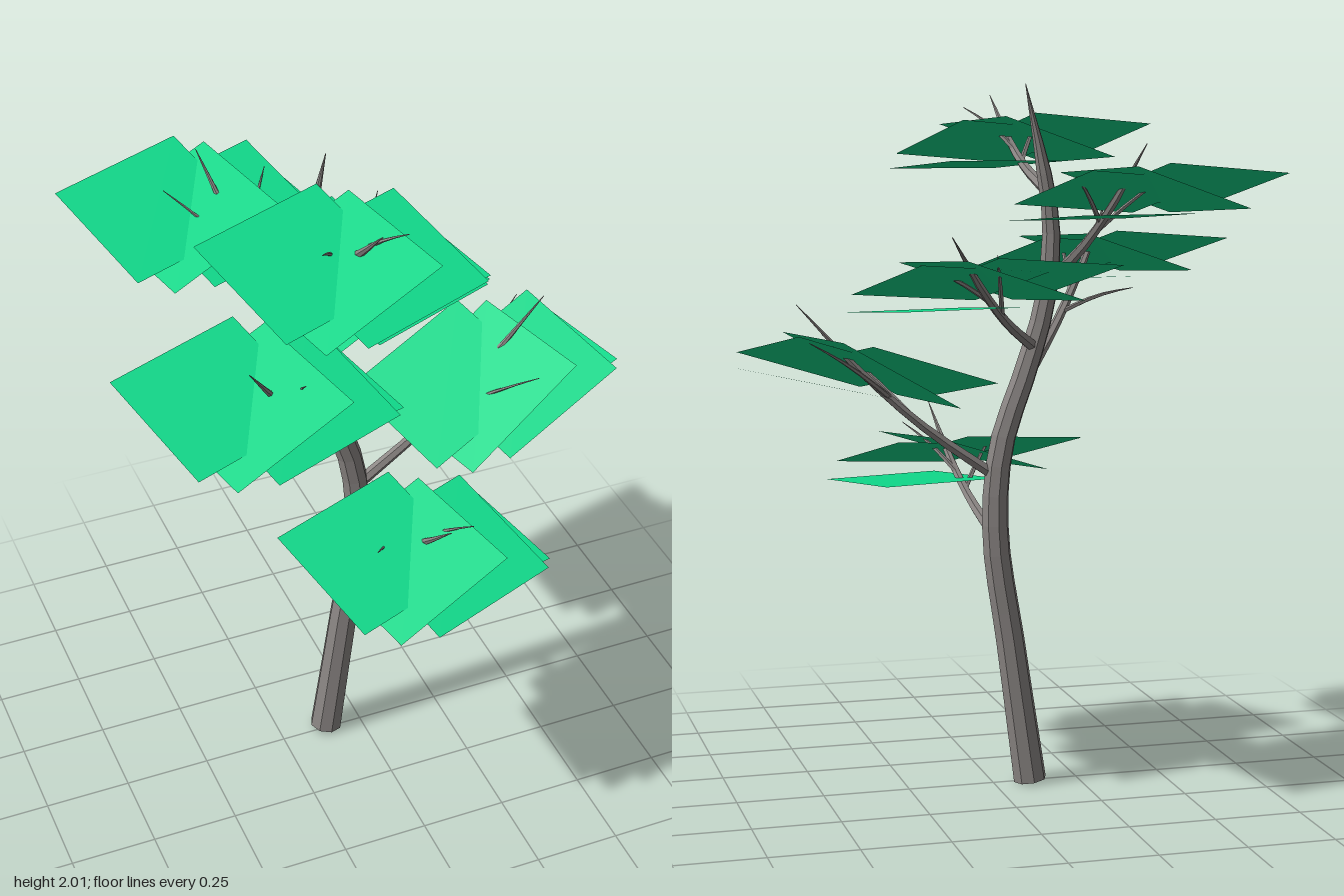
import * as THREE from 'three';

const bark = new THREE.MeshStandardMaterial({ color: 0x8a8583, flatShading: true });
const leaf = new THREE.MeshStandardMaterial({ color: 0x0fd98a, flatShading: true, side: THREE.DoubleSide });
const vec = p => new THREE.Vector3(...p);

// Tapered limb: a tube whose rings shrink along the curve, radii spread evenly by length
function limb(name, points, radii, sides, segments) {
  const curve = new THREE.CatmullRomCurve3(points);
  const geo = new THREE.TubeGeometry(curve, segments, 1, sides);
  const pos = geo.attributes.position, v = new THREE.Vector3();
  for (let i = 0; i <= segments; i++) {
    const t = i / segments, f = t * (radii.length - 1);
    const k = Math.min(Math.floor(f), radii.length - 2);
    const r = THREE.MathUtils.lerp(radii[k], radii[k + 1], f - k);
    const c = curve.getPointAt(t);
    for (let j = 0; j <= sides; j++) {
      const n = i * (sides + 1) + j;
      v.fromBufferAttribute(pos, n).sub(c).multiplyScalar(r).add(c);
      pos.setXYZ(n, v.x, v.y, v.z);
    }
  }
  geo.computeVertexNormals();
  const mesh = new THREE.Mesh(geo, bark);
  mesh.name = name;
  return mesh;
}

// Four overlapping leaf sheets: centre, vector along the width, vector along the depth
const sheets = [
  { centre: [-0.063, 1.83, 0.295], across: [0.38, 0.035, -0.117], along: [0.113, -0.105, 0.354] },
  { centre: [-0.254, 1.85, 0.23], across: [0.38, 0.035, -0.117], along: [0.113, -0.105, 0.354] },
  { centre: [0.002, 1.77, 0.19], across: [0.353, 0.005, -0.095], along: [0.097, -0.035, 0.386] },
  { centre: [-0.176, 1.835, 0.28], across: [0.353, 0.12, -0.095], along: [0.097, -0.03, 0.386] },
];

// A foliage pad is the sheets shifted to its place, with an optional rise towards +x
function foliage([dx, dy, dz], rise) {
  const group = new THREE.Group();
  group.name = 'foliagePad';
  for (const { centre, across, along } of sheets) {
    const geo = new THREE.PlaneGeometry(1, 1);
    const pos = geo.attributes.position;
    for (let i = 0; i < pos.count; i++) {
      const p = vec(centre)
        .addScaledVector(vec(across), pos.getX(i))
        .addScaledVector(vec(along), -pos.getY(i));
      pos.setXYZ(i, p.x + dx, p.y + dy + rise * p.x, p.z + dz);
    }
    geo.computeVertexNormals();
    const mesh = new THREE.Mesh(geo, leaf);
    mesh.name = 'leafSheet';
    group.add(mesh);
  }
  return group;
}

// A path between two points that sags below the straight line
function sagging(from, to, sag) {
  const at = t => from.clone().lerp(to, t).setY(THREE.MathUtils.lerp(from.y, to.y, t) - sag);
  return [from, at(0.35), at(0.65), to];
}

// A bough: branch, two twigs leaving it part way, and its foliage pad
function bough(base, tip, twigTips, shift, rise = 0) {
  const group = new THREE.Group();
  group.name = 'bough';
  const path = sagging(vec(base), vec(tip), 0.035);
  group.add(limb('branch', path, [0.018, 0.014, 0.011, 0.001], 6, 9));
  twigTips.forEach((end, i) => {
    const start = path[1].clone().lerp(path[2], 0.2 + 0.4 * i);
    group.add(limb('twig', sagging(start, vec(end), -0.01), [0.008, 0.006, 0.001], 5, 5));
  });
  group.add(foliage(shift, rise));
  return group;
}

export function createModel() {
  const tree = new THREE.Group();
  tree.name = 'tree';

  // Leaning trunk with a pointed top and a closed foot
  const z = -0.013;
  const spine = [[-0.107, 0], [-0.05, 0.4], [-0.003, 0.74], [-0.02, 0.98], [-0.1, 1.22],
    [-0.15, 1.4], [-0.166, 1.6], [-0.145, 1.75], [-0.09, 2]];
  tree.add(limb('trunk', spine.map(([x, y]) => new THREE.Vector3(x, y, z)),
    [0.048, 0.044, 0.041, 0.039, 0.036, 0.033, 0.029, 0.022, 0.001], 8, 24));
  const foot = new THREE.Mesh(new THREE.CircleGeometry(0.048, 8).rotateX(Math.PI / 2), bark);
  foot.name = 'trunkFoot';
  foot.position.set(-0.107, 0.001, z);
  tree.add(foot);

  // Boughs from the top down: base, tip, twig tips, foliage shift, foliage rise
  tree.add(
    bough([-0.15, 1.71, 0], [-0.09, 1.965, 0.37],
      [[-0.23, 1.91, 0.31], [0, 1.93, 0.33]], [0, 0, 0]),
    bough([-0.165, 1.45, -0.01], [-0.31, 1.845, -0.42],
      [[-0.43, 1.78, -0.35], [-0.12, 1.76, -0.4]], [-0.197, -0.12, -0.583]),
    bough([-0.1, 1.18, 0], [-0.46, 1.66, 0.39],
      [[-0.46, 1.41, 0.14], [-0.3, 1.57, 0.37]], [-0.25, -0.335, 0.024]),
    bough([-0.12, 1.26, -0.01], [0.22, 1.605, -0.4],
      [[0.11, 1.56, -0.45], [0.27, 1.52, -0.25]], [0.24, -0.365, -0.495]),
    bough([0, 0.9, -0.01], [0.565, 1.4, -0.01],
      [[0.45, 1.29, 0.21], [0.56, 1.31, -0.17]], [0.515, -0.59, -0.217], 0.24),
    bough([0, 0.73, 0.01], [0.075, 1.05, 0.47],
      [[-0.1, 0.96, 0.37], [0.17, 1, 0.41]], [0.17, -0.922, 0.097]),
  );
  return tree;
}
